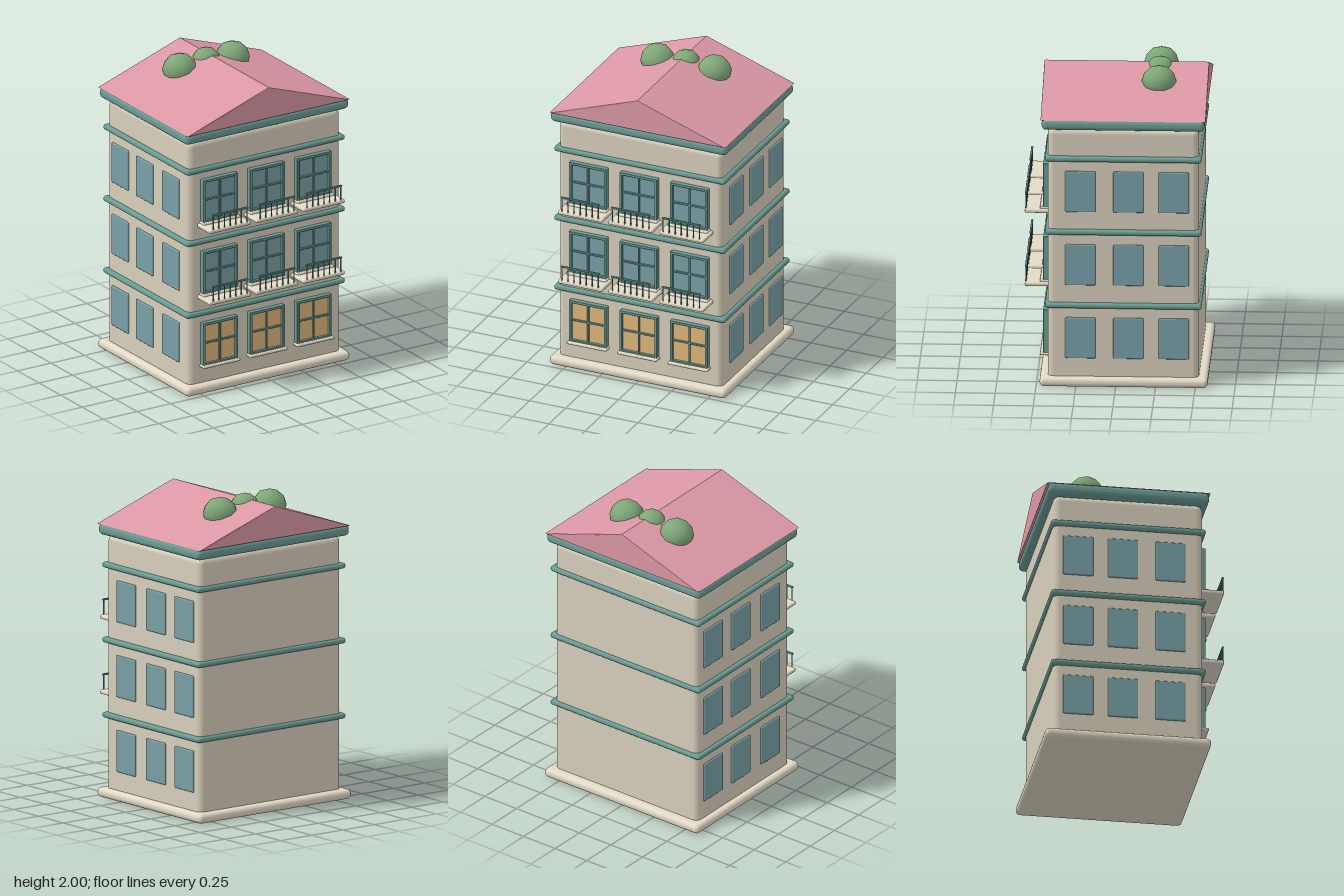
import * as THREE from 'three';
import { RoundedBoxGeometry } from 'three/addons/geometries/RoundedBoxGeometry.js';

const mat = (color) => new THREE.MeshStandardMaterial({ color });
const M = {
  wall: mat(0xd8cfbc), stone: mat(0xe2dac6), trim: mat(0x6a9c94), roof: mat(0xdb98a5),
  glass: mat(0x78a0a6), lit: mat(0xe0b87c), leaf: mat(0x7fa878),
};

function add(parent, name, geometry, material, x = 0, y = 0, z = 0) {
  const mesh = new THREE.Mesh(geometry, material);
  mesh.name = name;
  mesh.position.set(x, y, z);
  parent.add(mesh);
  return mesh;
}

// Box with rounded edges, placed by its centre
function block(parent, name, size, pos, material, radius = 0.005, segments = 2) {
  return add(parent, name, new RoundedBoxGeometry(...size, segments, radius), material, ...pos);
}

// Framed window with glazing bars and a sill, origin at the middle of the opening
function frontWindow(lit) {
  const g = new THREE.Group(), w = 0.26, h = 0.29, t = 0.018;
  g.name = 'frontWindow';
  block(g, 'pane', [w - t, h - t, 0.02], [0, 0, 0.002], lit ? M.lit : M.glass, 0.003);
  for (const s of [-1, 1]) {
    block(g, 'frameSide', [t, h, 0.04], [s * (w - t) / 2, 0, 0.01], M.trim);
    block(g, 'frameRail', [w, t, 0.04], [0, s * (h - t) / 2, 0.01], M.trim);
  }
  block(g, 'verticalBar', [0.012, h - t, 0.02], [0, 0, 0.012], M.trim, 0.003);
  block(g, 'crossBar', [w - t, 0.012, 0.02], [0, 0.008, 0.012], M.trim, 0.003);
  block(g, 'sill', [0.275, 0.018, 0.06], [0, -h / 2 - 0.001, 0.02], M.stone, 0.007);
  return g;
}

// Slab with a front railing, origin at the slab centre on the wall
function balcony() {
  const g = new THREE.Group(), railZ = 0.138, railY = 0.108;
  g.name = 'balcony';
  block(g, 'slab', [0.31, 0.026, 0.17], [0, 0, 0.06], M.stone, 0.01);
  block(g, 'handrail', [0.27, 0.013, 0.013], [0, railY, railZ], M.trim);
  const post = new THREE.CylinderGeometry(0.004, 0.004, railY, 6);
  for (let i = 0; i < 7; i++) {
    add(g, 'baluster', post, M.trim, -0.126 + i * 0.042, railY / 2, railZ);
  }
  return g;
}

export function createModel() {
  const model = new THREE.Group();
  model.name = 'townhouse';
  const cz = -0.047, front = 0.43;

  // Main masses and horizontal mouldings
  block(model, 'plinth', [1.22, 0.062, 1.056], [0, 0.034, -0.05], M.stone, 0.028, 3);
  block(model, 'walls', [1.134, 1.67, 0.95], [0, 0.86, cz], M.wall, 0.04, 3);
  for (const y of [0.533, 1.016, 1.498]) {
    block(model, 'floorBand', [1.184, 0.036, 0.984], [0, y, cz], M.trim, 0.017, 3);
  }
  block(model, 'eaves', [1.22, 0.072, 1.024], [0, 1.728, cz], M.trim, 0.03, 3);

  // Gabled roof with softly bevelled ends
  const gable = new THREE.Shape([
    new THREE.Vector2(-0.608, 1.758), new THREE.Vector2(0.608, 1.758), new THREE.Vector2(0, 1.966),
  ]);
  const bevel = 0.006;
  add(model, 'roof', new THREE.ExtrudeGeometry(gable, {
    depth: 1.036 - 2 * bevel, bevelThickness: bevel, bevelSize: bevel, bevelOffset: -bevel, bevelSegments: 2,
  }), M.roof, 0, 0, -0.565 + bevel);

  // Three storeys of windows, balconies on the upper two
  [0.327, 0.808, 1.29].forEach((y, floor) => {
    for (const x of [-0.35, 0, 0.35]) {
      const win = frontWindow(floor === 0);
      win.position.set(x, y, front);
      model.add(win);
      if (floor > 0) {
        const b = balcony();
        b.position.set(x, y - 0.162, front);
        model.add(b);
      }
    }
    for (const side of [-1, 1]) {
      for (const z of [0.222, -0.08, -0.365]) {
        block(model, 'sideWindow', [0.03, 0.268, 0.192], [side * 0.562, y - 0.009, z], M.glass, 0.008);
      }
    }
  });

  // Roof garden shrubs
  for (const [x, r] of [[-0.197, 0.11], [0, 0.092], [0.197, 0.11]]) {
    const shrub = add(model, 'shrub', new THREE.IcosahedronGeometry(r, 1), M.leaf, x, 2 - r * 0.94, -0.257);
    shrub.scale.y = 0.94;
  }
  return model;
}
